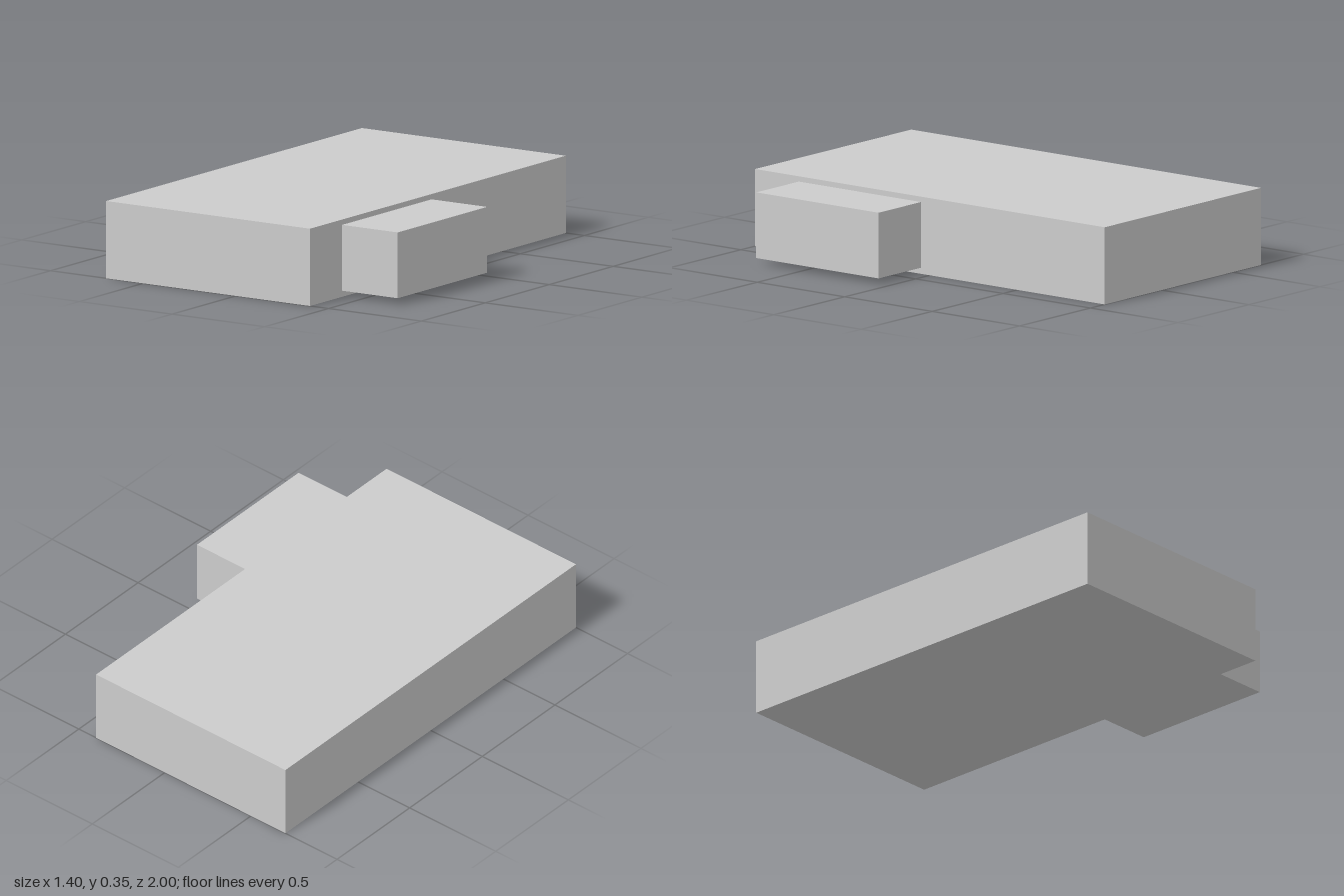
import * as THREE from 'three';

const material = new THREE.MeshStandardMaterial({ color: 0xcccccc, flatShading: true });

// Box spanning two opposite corners
function boxBetween(name, min, max) {
  const size = max.map((v, i) => v - min[i]);
  const mesh = new THREE.Mesh(new THREE.BoxGeometry(...size), material);
  mesh.position.set(...max.map((v, i) => (v + min[i]) / 2));
  mesh.name = name;
  return mesh;
}

export function createModel() {
  const model = new THREE.Group();
  model.name = 'slabWithSideBlock';
  // Long main slab
  model.add(boxBetween('mainSlab', [-0.7, 0, -1], [0.4, 0.35, 1]));
  // Smaller block on the left flank, slightly inset top and bottom
  model.add(boxBetween('sideBlock', [0.4, 0.028, 0.05], [0.7, 0.326, 0.75]));
  return model;
}
